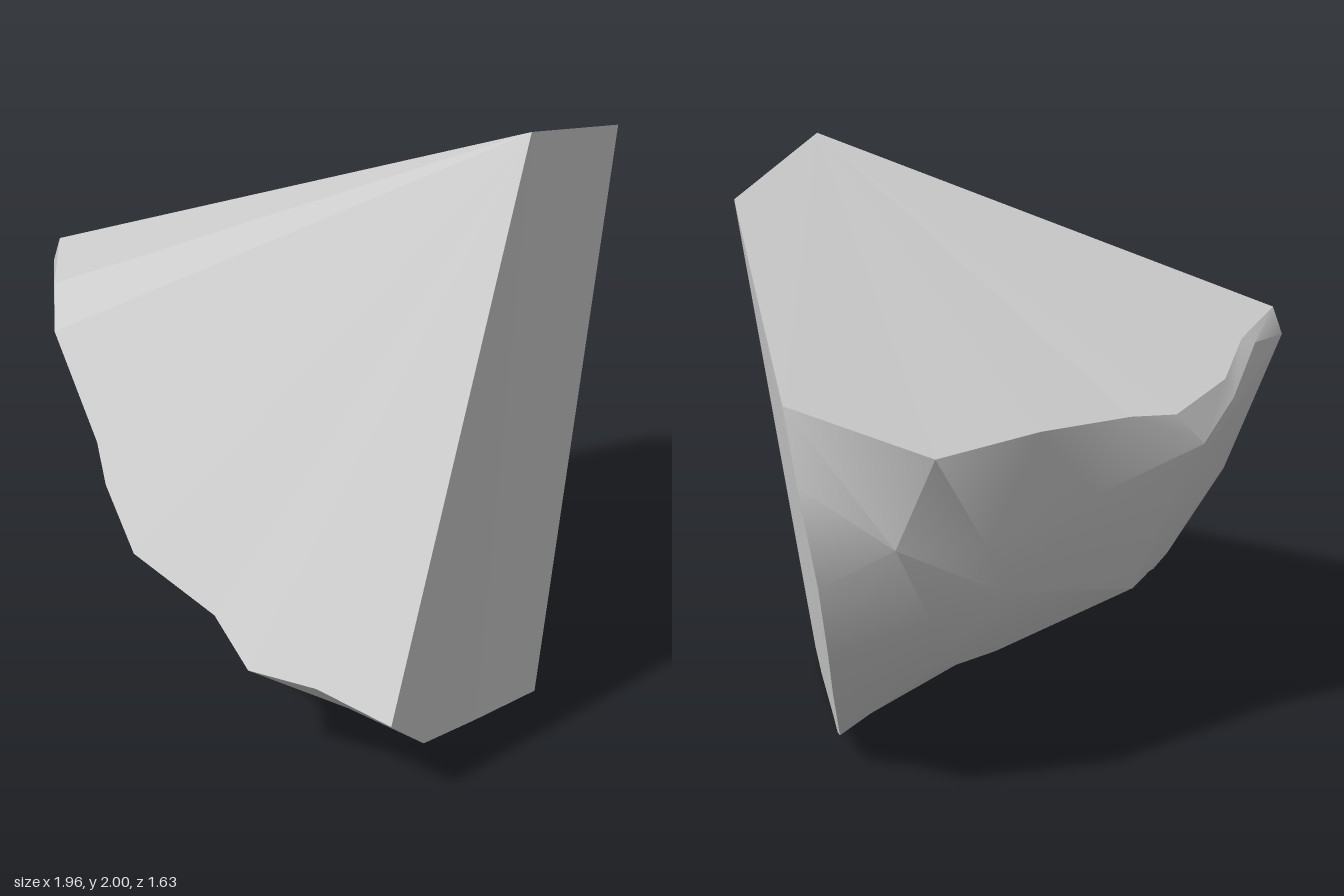
import * as THREE from 'three';
import { toCreasedNormals } from 'three/addons/utils/BufferGeometryUtils.js';

const points = (list) => list.map((p) => new THREE.Vector3(...p));

// Two upper corners shared by the flat cut faces
const [peak, shoulder] = points([[-0.11, 2, 0.72], [0.38, 1.9, 0.67]]);

// Rim where the flat cuts meet the rough back
const rightRim = points([
  [0.94, 1.53, 0.01], [0.98, 1.3, -0.07], [0.97, 0.97, -0.13], [0.86, 0.66, -0.07], [0.7, 0.41, 0.05],
  [0.55, 0.14, 0.15], [0.49, 0.1, 0.21], [0.32, 0.03, 0.37], [0.08, 0, 0.62], [-0.02, 0.03, 0.73],
]);
const frontRim = points([[-0.36, 0.09, 0.76], [-0.64, 0.15, 0.79], [-0.81, 0.3, 0.81]]);
const leftRim = points([
  [-0.87, 0.35, 0.55], [-0.94, 0.35, 0.32], [-0.93, 0.48, 0.16], [-0.98, 0.6, -0.16], [-0.95, 0.78, -0.32],
  [-0.92, 0.9, -0.39], [-0.87, 1.2, -0.64], [-0.82, 1.34, -0.69], [-0.77, 1.48, -0.71],
]);
const topRim = points([
  [-0.54, 1.44, -0.72], [-0.33, 1.38, -0.78], [-0.06, 1.345, -0.76],
  [0.07, 1.36, -0.67], [0.37, 1.38, -0.53], [0.72, 1.38, -0.39],
]);
const rim = [...rightRim, ...frontRim, ...leftRim, ...topRim];

// Rings of the rough back, shrinking towards its middle
const middleRing = points([
  [0.83, 1.1, -0.32], [0.62, 0.75, -0.3], [0.42, 0.42, -0.13], [-0.12, 0.1, 0.15], [-0.49, 0.08, 0.55],
  [-0.68, 0.17, 0.5], [-0.57, 0.47, -0.4], [-0.65, 0.9, -0.62], [-0.77, 1.39, -0.75], [-0.58, 1.42, -0.75],
  [-0.34, 1.32, -0.81], [-0.14, 1.23, -0.82], [0.15, 1.1, -0.6], [0.5, 1, -0.43],
]);
const innerRing = points([
  [0.4, 0.8, -0.42], [0.1, 0.37, -0.18], [-0.32, 0.25, 0.08],
  [-0.4, 0.47, -0.38], [-0.35, 0.68, -0.58], [-0.15, 0.97, -0.7],
]);
const backCentre = points([[-0.08, 0.67, -0.61]]);

// Join two closed rings with triangles, always taking the shorter diagonal
function stitch(outer, inner) {
  const triangles = [];
  const a = (i) => outer[i % outer.length];
  const b = (j) => inner[j % inner.length];
  let i = 0;
  let j = 0;
  const innerSteps = inner.length > 1 ? inner.length : 0;
  while (i < outer.length || j < innerSteps) {
    const stepOuter = j >= innerSteps
      || (i < outer.length && a(i + 1).distanceTo(b(j)) <= a(i).distanceTo(b(j + 1)));
    if (stepOuter) triangles.push(a(i), a(++i), b(j));
    else triangles.push(a(i), b(j + 1), b(j++));
  }
  return triangles;
}

// Flat polygon as a fan from its first corner
function fan(polygon) {
  const triangles = [];
  for (let i = 1; i < polygon.length - 1; i++) triangles.push(polygon[0], polygon[i], polygon[i + 1]);
  return triangles;
}

export function createModel() {
  const rock = new THREE.Group();
  rock.name = 'rockFragment';
  const flat = new THREE.MeshStandardMaterial({ color: 0xcccccc, flatShading: true });
  const smooth = new THREE.MeshStandardMaterial({ color: 0xcccccc });

  const add = (name, triangles, material) => {
    let geometry = new THREE.BufferGeometry().setFromPoints(triangles);
    geometry.computeVertexNormals();
    if (material === smooth) geometry = toCreasedNormals(geometry, 0.7);
    const mesh = new THREE.Mesh(geometry, material);
    mesh.name = name;
    rock.add(mesh);
  };

  // Four flat cut faces
  const [rightCorner, bottomCorner] = [rightRim[0], rightRim.at(-1)];
  const [frontCorner, backCorner] = [frontRim.at(-1), leftRim.at(-1)];
  add('topCut', fan([peak, shoulder, rightCorner, ...[...topRim].reverse(), backCorner]), flat);
  add('sideCut', fan([peak, ...[...leftRim].reverse(), frontCorner]), flat);
  add('frontCut', fan([peak, ...[...frontRim].reverse(), bottomCorner, shoulder]), flat);
  add('frontCornerCut', fan([shoulder, ...[...rightRim].reverse()]), flat);

  // Rough, softly shaded back and underside
  add('roughBack', [
    ...stitch(rim, middleRing),
    ...stitch(middleRing, innerRing),
    ...stitch(innerRing, backCentre),
  ], smooth);
  return rock;
}
